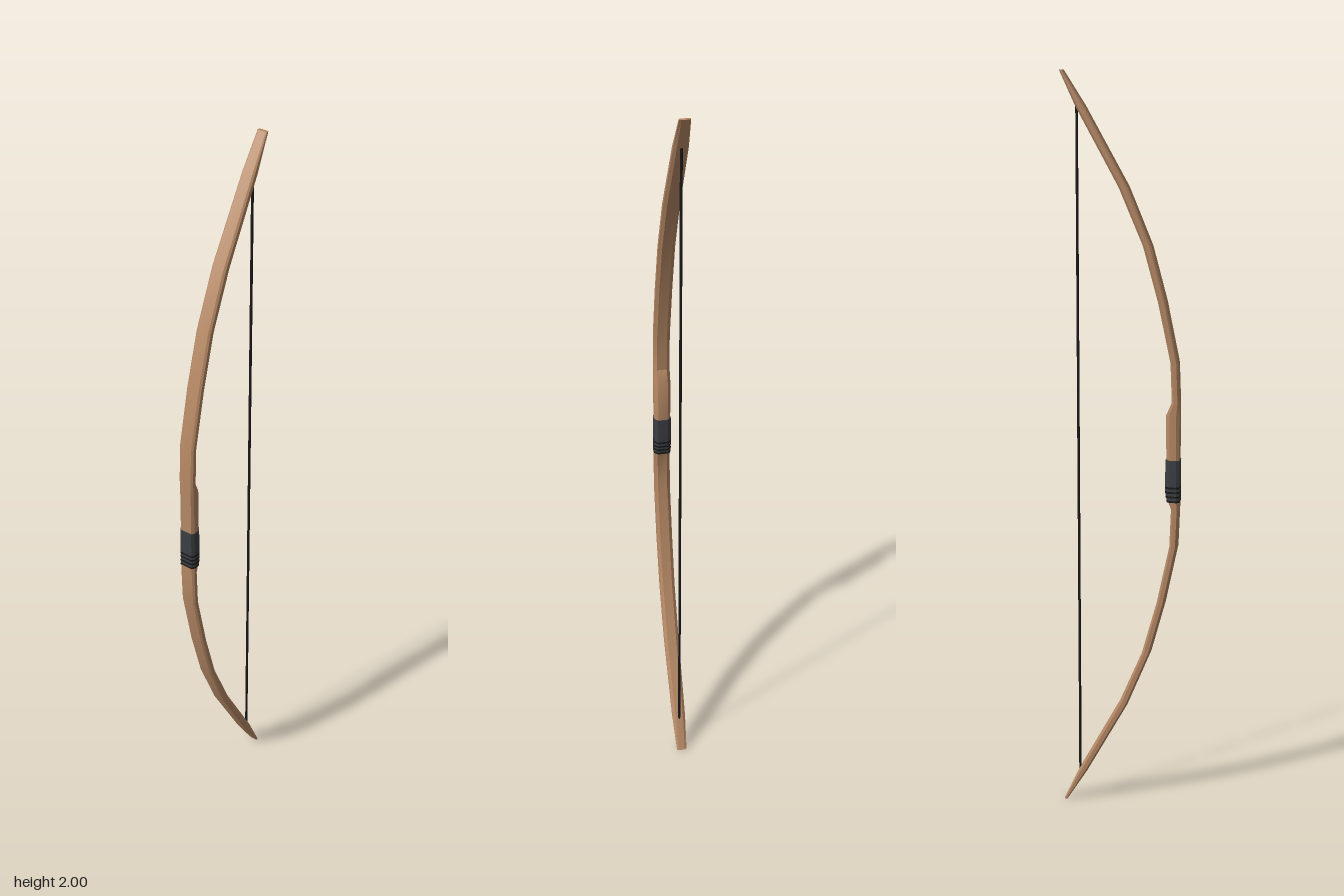
import * as THREE from 'three';
import { toCreasedNormals } from 'three/addons/utils/BufferGeometryUtils.js';

// Bevelled eight-sided cross-section, as fractions of half width and thickness
const SECTION = [[-0.78, 0], [0.78, 0], [1, 0.22], [1, 0.72], [0.6, 1], [-0.6, 1], [-1, 0.72], [-1, 0.22]];

// Loft the section through stations [y, frontZ, thickness, halfWidth], bottom to top
function loft(stations) {
  const n = SECTION.length, pos = [], index = [];
  for (const [y, z, t, w] of stations)
    for (const [sx, st] of SECTION) pos.push(sx * w, y, z - st * t);
  for (let s = 0; s < stations.length - 1; s++)
    for (let i = 0; i < n; i++) {
      const a = s * n + i, b = s * n + (i + 1) % n;
      index.push(a, b, b + n, a, b + n, a + n);
    }
  const top = (stations.length - 1) * n;
  for (let i = 1; i < n - 1; i++) {
    index.push(0, i + 1, i);
    index.push(top, top + i, top + i + 1);
  }
  const g = new THREE.BufferGeometry();
  g.setAttribute('position', new THREE.Float32BufferAttribute(pos, 3));
  g.setIndex(index);
  return toCreasedNormals(g, 0.42);
}

export function createModel() {
  const wood = new THREE.MeshStandardMaterial({ color: 0xb58864 });
  wood.name = 'wood';
  const leather = new THREE.MeshStandardMaterial({ color: 0x3c3f42 });
  leather.name = 'dark leather';
  const cord = new THREE.MeshStandardMaterial({ color: 0x18181a });
  cord.name = 'black cord';

  const bow = new THREE.Group();
  bow.name = 'bow';
  const add = (name, geometry, material) => {
    const mesh = new THREE.Mesh(geometry, material);
    mesh.name = name;
    bow.add(mesh);
    return mesh;
  };

  // Upper limb stations, mirrored about y = 1 for the lower limb
  const limb = [
    [1.145, 0.158, 0.021, 0.022], [1.25, 0.154, 0.021, 0.022], [1.41, 0.121, 0.022, 0.022],
    [1.555, 0.082, 0.023, 0.0215], [1.705, 0.02, 0.025, 0.021], [1.91, -0.094, 0.024, 0.0185],
    [2, -0.151, 0.009, 0.014],
  ];
  const lower = limb.map(([y, ...rest]) => [2 - y, ...rest]).reverse();
  // Deeper handle between the limbs
  const handle = [
    [0.885, 0.158, 0.033, 0.022], [1.11, 0.158, 0.036, 0.022],
  ];
  add('stave', loft([...lower, ...handle, ...limb]), wood);

  // Leather grip, narrowing at its lower end
  add('gripWrap', loft([
    [0.875, 0.1595, 0.034, 0.0226], [0.905, 0.1595, 0.0385, 0.0232], [0.99, 0.1595, 0.0385, 0.0232],
  ]), leather);

  // Cord windings at the foot of the grip
  for (let i = 0; i < 4; i++) {
    const y = 0.875 + i * 0.0125;
    const t = Math.min(0.0355 + i * 0.002, 0.04);
    add('gripBinding', loft([[y, 0.16, t, 0.0236], [y + 0.005, 0.16, t, 0.0236]]), cord);
  }

  // Bowstring between the limb tips
  add('bowstring', new THREE.CylinderGeometry(0.0035, 0.0035, 1.84, 8), cord).position.set(0, 1, -0.116);

  return bow;
}
